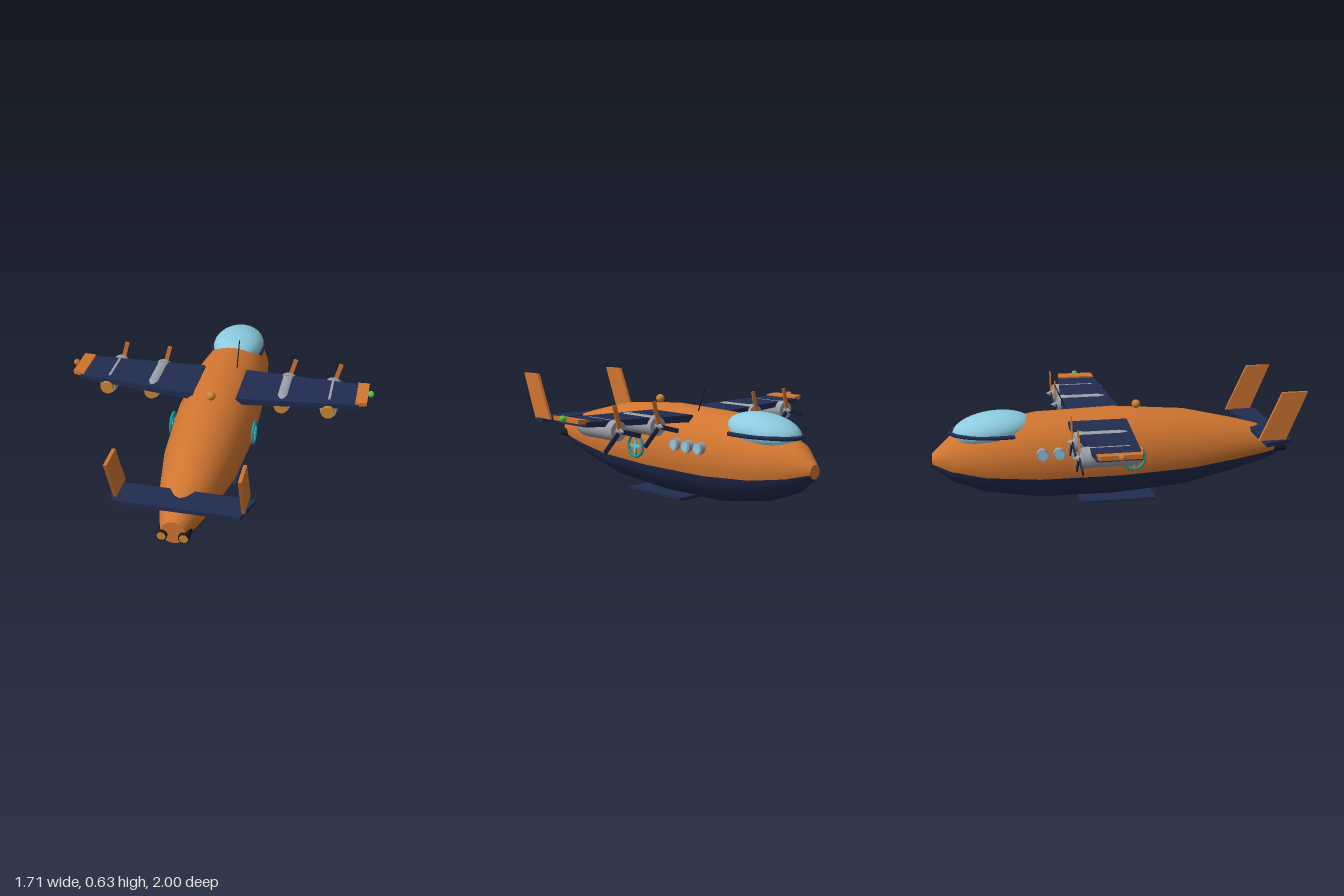
import * as THREE from 'three';

const mat = (name, color) => Object.assign(new THREE.MeshStandardMaterial({ color }), { name });

export function createModel() {
  const M = {
    orange: mat('orange', 0xd07530), navy: mat('navy', 0x212c50), glass: mat('glass', 0x8ccbe0),
    grey: mat('grey', 0x9b9ea5), teal: mat('teal', 0x1f98a2), paleTeal: mat('pale teal', 0x62cbd6),
    gold: mat('gold', 0xcc8630), green: mat('green', 0x58c050), black: mat('black', 0x181a24),
  };
  const root = new THREE.Group();
  root.name = 'aeroplane';
  const add = (name, geo, m, x = 0, y = 0, z = 0, parent = root) => {
    const mesh = new THREE.Mesh(geo, m);
    mesh.name = name;
    mesh.position.set(x, y, z);
    parent.add(mesh);
    return mesh;
  };
  const alongZ = (r0, r1, len, n = 24) => new THREE.CylinderGeometry(r1, r0, len, n).rotateX(Math.PI / 2);
  const alongX = (r, len) => new THREE.CylinderGeometry(r, r, len, 24).rotateZ(Math.PI / 2);

  // Fuselage sections, nose to tail: z, centre y, half width, half height
  const sections = [
    [-1, 0.255, 0.035, 0.037], [-0.9, 0.26, 0.113, 0.125], [-0.72, 0.257, 0.178, 0.19],
    [-0.43, 0.258, 0.213, 0.238], [0, 0.262, 0.225, 0.245], [0.4, 0.26, 0.196, 0.215],
    [0.68, 0.26, 0.145, 0.15], [0.86, 0.258, 0.097, 0.103], [0.97, 0.262, 0.063, 0.063],
  ];
  function hull(a0, a1, n) {
    const pos = [], idx = [];
    sections.forEach(([z, cy, rx, ry], i) => {
      for (let j = 0; j <= n; j++) {
        const a = a0 + (a1 - a0) * j / n;
        pos.push(Math.cos(a) * rx, cy + Math.sin(a) * ry, z);
        if (i < sections.length - 1 && j < n) {
          const p = i * (n + 1) + j, q = p + n + 1;
          idx.push(p, p + 1, q, p + 1, q + 1, q);
        }
      }
    });
    const g = new THREE.BufferGeometry();
    g.setAttribute('position', new THREE.Float32BufferAttribute(pos, 3));
    g.setIndex(idx);
    g.computeVertexNormals();
    return g;
  }
  const seam = -0.34;
  add('upperFuselage', hull(seam, Math.PI - seam, 24), M.orange);
  add('belly', hull(-Math.PI - seam, seam, 16), M.navy);
  add('noseCap', alongZ(0.036, 0.036, 0.006), M.orange, 0, 0.255, -1 + 0.003);
  add('tailCap', alongZ(0.063, 0.063, 0.006), M.orange, 0, 0.262, 0.968);

  // Canopy and its rim
  const canopy = add('canopy', new THREE.SphereGeometry(1, 32, 20), M.glass, 0, 0.418, -0.665);
  canopy.scale.set(0.149, 0.094, 0.222);
  canopy.rotation.x = -0.1;
  const rimPoints = [];
  for (let i = 0; i <= 16; i++) {
    const a = -0.25 + (Math.PI + 0.5) * i / 16;
    rimPoints.push(new THREE.Vector3(Math.cos(a) * 0.15, 0.408, -0.625 - Math.sin(a) * 0.272));
  }
  add('canopyRim', new THREE.TubeGeometry(new THREE.CatmullRomCurve3(rimPoints), 40, 0.011, 8), M.navy);

  // Slab with tapering chord and thickness: each end is [x, yBottom, yTop, zFront, zBack]
  function slab(e0, e1) {
    const g = new THREE.BoxGeometry(1, 1, 1), p = g.attributes.position;
    for (let i = 0; i < p.count; i++) {
      const e = p.getX(i) < 0 ? e0 : e1;
      p.setXYZ(i, e[0], p.getY(i) < 0 ? e[1] : e[2], p.getZ(i) < 0 ? e[3] : e[4]);
    }
    g.computeVertexNormals();
    return g;
  }
  const mirrorSlab = (s, a, b) => {
    const flip = e => [-e[0], ...e.slice(1)];
    return s > 0 ? slab(a, b) : slab(flip(b), flip(a));
  };

  // Engine with a three-bladed propeller
  function engine(x) {
    const g = new THREE.Group();
    g.name = 'engine';
    g.position.set(x, 0.435, 0);
    add('nacelle', alongZ(0.051, 0.051, 0.22), M.grey, 0, 0, -0.14, g);
    add('nacelleTail', alongZ(0.051, 0.044, 0.04), M.grey, 0, 0, -0.01, g);
    add('exhaustPlug', alongZ(0.038, 0.036, 0.05), M.gold, 0, 0, 0.006, g);
    add('cowling', alongZ(0.05, 0.055, 0.04), M.grey, 0, 0, -0.25, g);
    add('spinner', new THREE.ConeGeometry(0.024, 0.045, 16).rotateX(-Math.PI / 2), M.grey, 0, 0, -0.29, g);
    [75, 195, 315].forEach((deg, i) => {
      const blade = new THREE.BoxGeometry(0.125, 0.024, 0.007).translate(0.0725, 0, 0);
      add('propellerBlade', blade, i ? M.navy : M.orange, 0, 0, -0.28, g).rotation.z = deg * Math.PI / 180;
    });
    root.add(g);
  }

  // Four-pointed star for the side roundel
  const star = new THREE.Shape();
  for (let i = 0; i < 8; i++) {
    const a = i * Math.PI / 4, r = i % 2 ? 0.013 : 0.055;
    star[i ? 'lineTo' : 'moveTo'](Math.cos(a) * r, Math.sin(a) * r);
  }

  for (const s of [1, -1]) {
    add('wing', mirrorSlab(s, [0.12, 0.435, 0.473, -0.27, 0.05], [0.78, 0.463, 0.489, -0.217, 0.005]), M.navy);
    add('wingTip', mirrorSlab(s, [0.76, 0.475, 0.498, -0.218, 0.002], [0.822, 0.483, 0.505, -0.21, -0.005]), M.orange);
    add('tipLight', new THREE.SphereGeometry(0.018, 16, 12), s > 0 ? M.green : M.orange, s * 0.836, 0.5, -0.105);
    engine(s * 0.365);
    engine(s * 0.62);

    // Portholes
    for (const z of [-0.24, -0.33, -0.42]) {
      add('portholeRim', alongX(0.032, 0.04), M.grey, s * 0.212, 0.323, z);
      add('portholeGlass', alongX(0.025, 0.008), M.glass, s * 0.232, 0.323, z);
    }

    // Roundel
    add('roundelRing', new THREE.TorusGeometry(0.06, 0.008, 8, 32).rotateY(Math.PI / 2), M.teal, s * 0.23, 0.28, 0.07);
    const badge = new THREE.ExtrudeGeometry(star, { depth: 0.008, bevelEnabled: false });
    badge.rotateY(s * Math.PI / 2);
    add('roundelStar', badge, M.paleTeal, s * 0.228, 0.28, 0.07);
    for (const horizontal of [true, false]) {
      const bar = new THREE.BoxGeometry(0.006, horizontal ? 0.008 : 0.12, horizontal ? 0.12 : 0.008);
      add('roundelSpoke', bar, M.teal, s * 0.228, 0.28, 0.07);
    }

    // Tail exhausts
    add('exhaustPipe', alongZ(0.028, 0.028, 0.07), M.black, s * 0.055, 0.245, 0.95);
    add('exhaustGlow', alongZ(0.022, 0.022, 0.006), M.gold, s * 0.055, 0.245, 0.985);

    // Swept fins
    const fin = new THREE.Shape([[0.74, 0.365], [0.89, 0.365], [1, 0.63], [0.86, 0.63]]
      .map(([z, y]) => new THREE.Vector2(-z, y)));
    const finGeo = new THREE.ExtrudeGeometry(fin, { depth: 0.017, bevelEnabled: false }).rotateY(Math.PI / 2);
    add('tailFin', finGeo, M.orange, s * 0.315);
  }

  // Tailplane, narrower at its trailing edge
  const tail = new THREE.BoxGeometry(0.73, 0.022, 0.15);
  const tp = tail.attributes.position;
  for (let i = 0; i < tp.count; i++) if (tp.getZ(i) > 0) tp.setX(i, tp.getX(i) * 0.86);
  tail.computeVertexNormals();
  add('tailplane', tail, M.navy, 0, 0.357, 0.845);

  // Belly hatch with ribs
  add('hatch', new THREE.BoxGeometry(0.32, 0.012, 0.42), M.navy, 0, 0.016, 0);
  add('hatchPanel', new THREE.BoxGeometry(0.29, 0.007, 0.4), M.black, 0, 0.0065, 0);
  for (const x of [-0.09, -0.03, 0.03, 0.09])
    add('hatchRib', new THREE.BoxGeometry(0.007, 0.006, 0.34), M.grey, x, 0.003, 0);

  // Beacon and leaning aerial
  add('beacon', new THREE.SphereGeometry(0.024, 16, 12), M.gold, 0, 0.519, 0.125);
  const aerial = new THREE.LineCurve3(new THREE.Vector3(0.068, 0.46, -0.245), new THREE.Vector3(0.068, 0.63, -0.318));
  add('aerial', new THREE.TubeGeometry(aerial, 1, 0.003, 6), M.black);
  return root;
}
